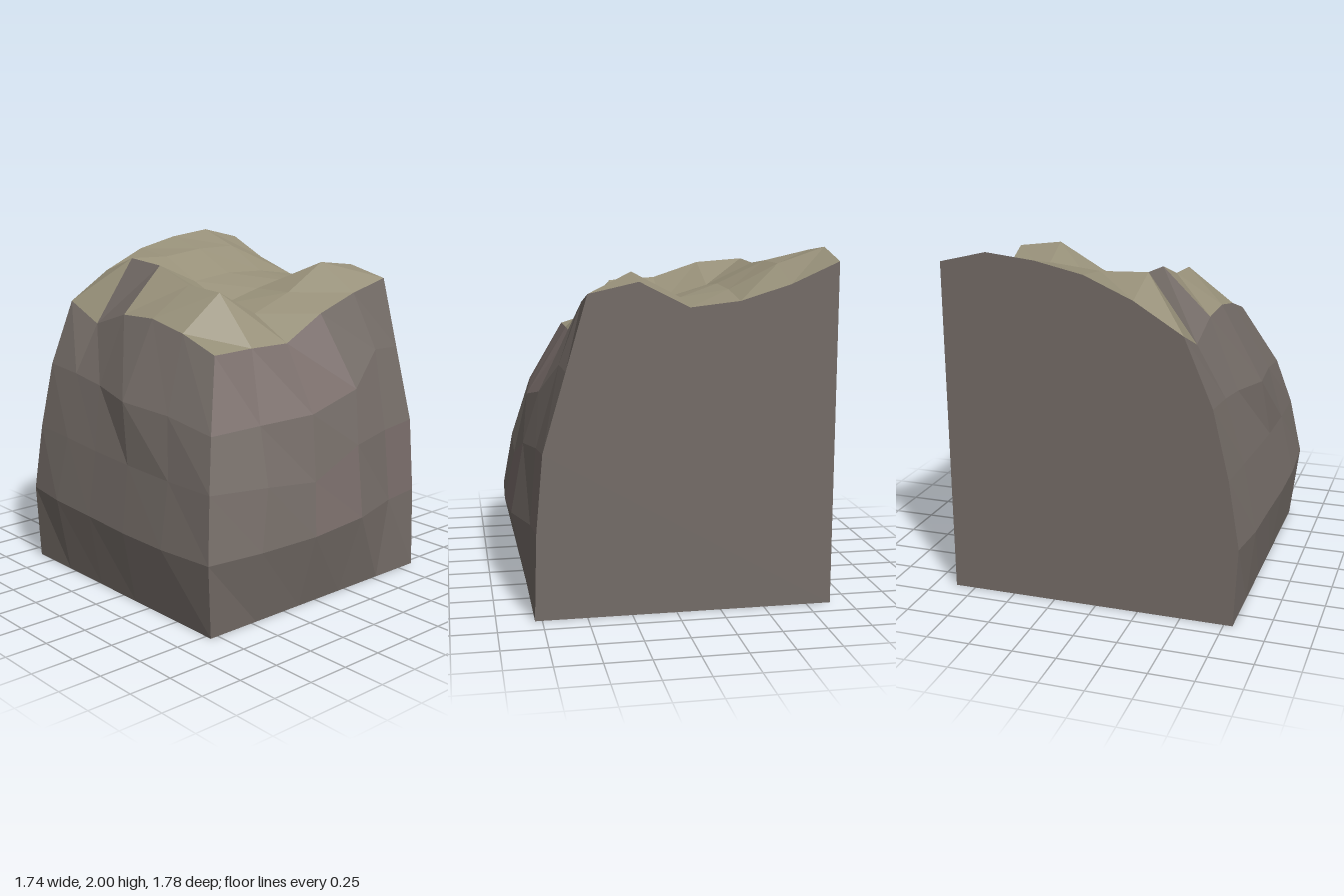
import * as THREE from 'three';

const flat = (color) => new THREE.MeshStandardMaterial({ color, side: THREE.DoubleSide, flatShading: true });

// Flat-shaded mesh from a list of polygons (each fanned from its first corner)
function facets(name, polygons, material) {
  const pos = [];
  for (const p of polygons)
    for (let i = 1; i < p.length - 1; i++) pos.push(...p[0], ...p[i], ...p[i + 1]);
  const geo = new THREE.BufferGeometry();
  geo.setAttribute('position', new THREE.Float32BufferAttribute(pos, 3));
  geo.computeVertexNormals();
  const mesh = new THREE.Mesh(geo, material);
  mesh.name = name;
  return mesh;
}

export function createModel() {
  const group = new THREE.Group();
  group.name = 'cliffCorner';
  const rock = flat(0x746c67);
  rock.name = 'rock';
  const warmRock = flat(0x786c69);
  warmRock.name = 'warm rock';
  const sand = flat(0x979079);
  sand.name = 'dry sand';

  // Plateau: 6 x 6 height grid, rows run from the back to the front
  const xs = [-0.505, -0.23, 0.045, 0.32, 0.6, 0.87];
  const zs = [-0.89, -0.62, -0.34, -0.065, 0.21, 0.485];
  const heights = [
    [1.62, 1.79, 1.91, 1.97, 2.0, 1.935],
    [1.51, 1.89, 1.88, 1.91, 1.91, 1.815],
    [1.6, 1.87, 1.75, 1.78, 1.77, 1.73],
    [1.61, 1.78, 1.64, 1.71, 1.73, 1.7],
    [1.56, 1.765, 1.615, 1.715, 1.875, 1.84],
    [1.475, 1.48, 1.475, 1.62, 1.715, 1.78],
  ];
  const top = (c, r) => [xs[c], heights[r][c], zs[r]];
  const sandCells = [], rockCells = [];
  for (let r = 0; r < 5; r++)
    for (let c = 0; c < 5; c++)
      (c === 0 && r === 1 ? rockCells : sandCells).push(
        [top(c, r), top(c, r + 1), top(c + 1, r + 1), top(c + 1, r)]);
  group.add(facets('plateau', sandCells, sand), facets('plateauRockPatch', rockCells, rock));

  // Cliff rings, each running from the front right end round the corner to the back
  const ring0 = [], ringTop = [];
  for (let i = 0; i <= 10; i++) {
    ring0.push(i <= 5 ? [0.87 - 0.334 * i, 0, 0.79] : [-0.8, 0, 0.79 - 0.336 * (i - 5)]);
    ringTop.push(i <= 5 ? top(5 - i, 5) : top(0, 10 - i));
  }
  const ring1 = [
    [0.87, 0.49, 0.775], [0.63, 0.475, 0.79], [0.3, 0.46, 0.875], [-0.1, 0.44, 0.89],
    [-0.5, 0.44, 0.875], [-0.85, 0.44, 0.83], [-0.87, 0.43, 0.45], [-0.87, 0.43, 0.1],
    [-0.86, 0.44, -0.25], [-0.855, 0.45, -0.6], [-0.824, 0.46, -0.89],
  ];
  const ring2 = [
    [0.87, 0.93, 0.735], [0.62, 0.91, 0.75], [0.33, 0.88, 0.8], [-0.05, 0.74, 0.83],
    [-0.41, 0.78, 0.82], [-0.785, 0.8, 0.765], [-0.79, 0.8, 0.42], [-0.79, 0.81, 0.05],
    [-0.78, 0.82, -0.28], [-0.775, 0.84, -0.58], [-0.76, 0.85, -0.89],
  ];
  const ring3 = [
    [0.87, 1.37, 0.605], [0.66, 1.38, 0.62], [0.4, 1.19, 0.71], [0, 1.11, 0.75],
    [-0.37, 1.1, 0.71], [-0.7, 1.09, 0.68], [-0.715, 1.14, 0.33], [-0.75, 1.16, -0.04],
    [-0.68, 1.19, -0.36], [-0.67, 1.22, -0.62], [-0.667, 1.24, -0.89],
  ];
  const rings = [ring0, ring1, ring2, ring3, ringTop];
  const warmFacets = ['1,0', '1,2', '3,2', '3,3', '3,4'];
  const cliff = [], warm = [];
  for (let k = 0; k < 4; k++)
    for (let i = 0; i < 10; i++)
      (warmFacets.includes(`${k},${i}`) ? warm : cliff).push(
        [rings[k][i], rings[k + 1][i], rings[k + 1][i + 1], rings[k][i + 1]]);
  group.add(facets('cliffFace', cliff, rock), facets('warmCliffPatches', warm, warmRock));

  // Flat cut walls at the back and the right, fanned from the shared bottom corner
  const corner = [0.87, 0, -0.89];
  const back = [corner, ...rings.map((ring) => ring[10])];
  for (let c = 1; c < 6; c++) back.push(top(c, 0));
  const right = [corner];
  for (let r = 0; r < 5; r++) right.push(top(5, r));
  for (let k = 4; k >= 0; k--) right.push(rings[k][0]);
  group.add(facets('backWall', [back], rock), facets('sideWall', [right], rock));

  return group;
}
